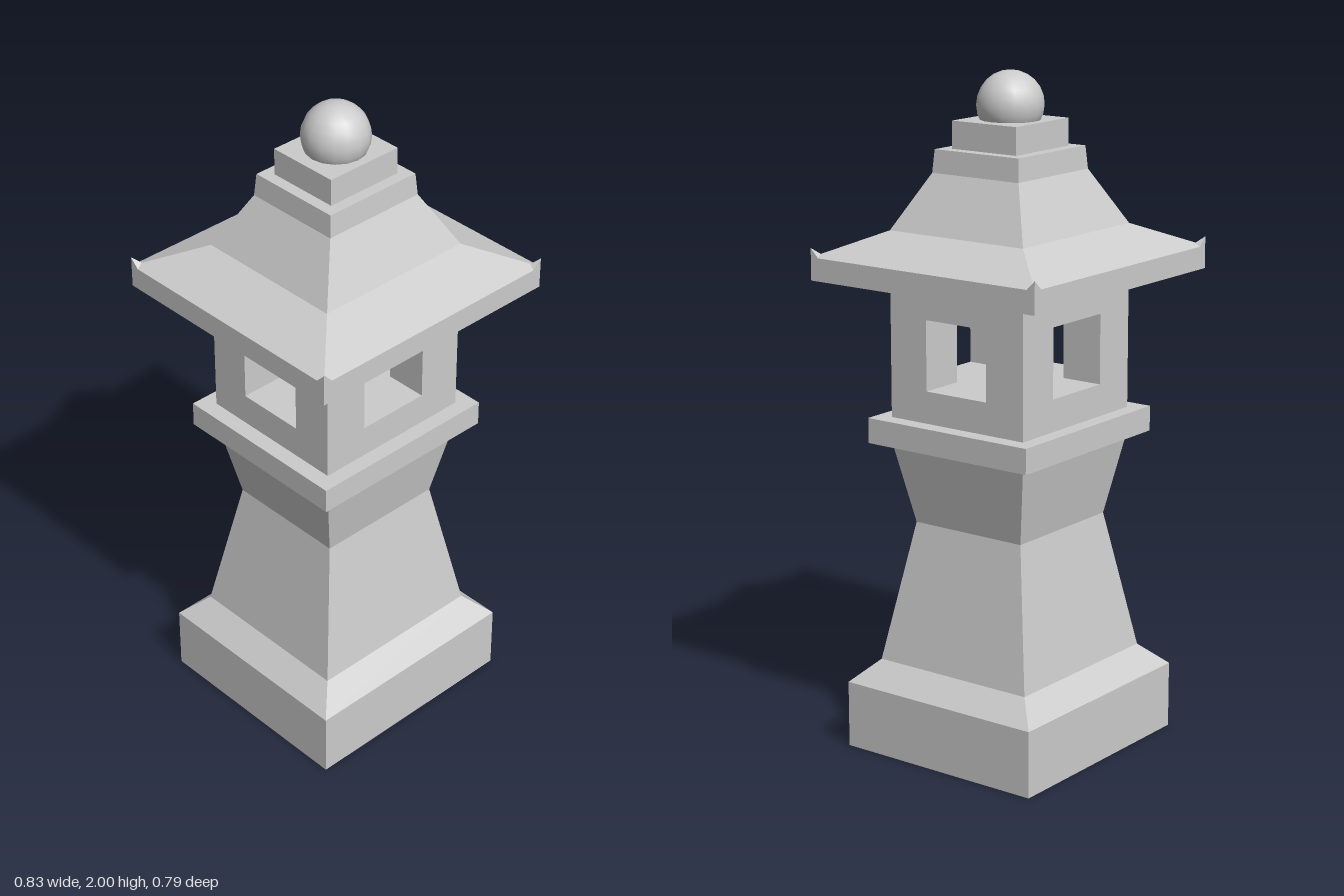
import * as THREE from 'three';

const stone = new THREE.MeshStandardMaterial({ color: 0xcccccc, flatShading: true, side: THREE.DoubleSide });
const smoothStone = new THREE.MeshStandardMaterial({ color: 0xcccccc });

// Corner signs (x, z), counter-clockwise seen from above
const CORNERS = [[1, 1], [1, -1], [-1, -1], [-1, 1]];

function meshFrom(name, positions) {
  const geometry = new THREE.BufferGeometry();
  geometry.setAttribute('position', new THREE.Float32BufferAttribute(positions, 3));
  geometry.computeVertexNormals();
  const mesh = new THREE.Mesh(geometry, stone);
  mesh.name = name;
  return mesh;
}

// Open-bottomed rectangular shell through levels of [half width, half depth, height]
function shell(name, levels, capped) {
  const positions = [];
  const rings = levels.map(([hx, hz, y]) => CORNERS.map(([sx, sz]) => [sx * hx, y, sz * hz]));
  const quad = (a, b, c, d) => positions.push(...a, ...b, ...c, ...a, ...c, ...d);
  for (let i = 0; i < rings.length - 1; i++) {
    for (let k = 0; k < 4; k++) {
      const n = (k + 1) % 4;
      quad(rings[i][k], rings[i][n], rings[i + 1][n], rings[i + 1][k]);
    }
  }
  if (capped) quad(...rings[rings.length - 1]);
  return meshFrom(name, positions);
}

function block(name, w, h, d, x, y, z) {
  const mesh = new THREE.Mesh(new THREE.BoxGeometry(w, h, d), stone);
  mesh.name = name;
  mesh.position.set(x, y, z);
  return mesh;
}

// Small upturned point on a roof corner
function eaveTip(sx, sz) {
  const p = (x, y, z) => [sx * x, y, sz * z];
  const tip = p(0.415, 1.507, 0.395);
  const base = p(0.415, 1.48, 0.395);
  const a = p(0.386, 1.48, 0.395);
  const b = p(0.415, 1.48, 0.368);
  const ridge = p(0.394, 1.489, 0.375);
  const faces = [[tip, ridge, a], [tip, b, ridge], [tip, a, base], [tip, base, b]];
  // Mirrored corners need the opposite winding
  return meshFrom('eaveTip', faces.flatMap(f => (sx * sz > 0 ? f : [f[0], f[2], f[1]]).flat()));
}

export function createModel() {
  const model = new THREE.Group();
  model.name = 'stoneLantern';

  // Hollow foot and waisted column
  model.add(shell('pedestal', [
    [0.355, 0.333, 0], [0.355, 0.333, 0.2], [0.283, 0.264, 0.267],
    [0.204, 0.19, 0.685], [0.255, 0.237, 0.93],
  ], false));
  model.add(shell('platform', [[0.305, 0.284, 0.93], [0.305, 0.284, 1.005]], true));

  // Lamp chamber: sill, four corner posts and lintel around crossing windows
  const W = 0.255, D = 0.237, wx = 0.114, wz = 0.107;
  const sill = 1.1, head = 1.308;
  const chamber = new THREE.Group();
  chamber.name = 'lampChamber';
  chamber.add(block('sill', 2 * W, sill - 1.005, 2 * D, 0, (sill + 1.005) / 2, 0));
  chamber.add(block('lintel', 2 * W, 1.415 - head, 2 * D, 0, (head + 1.415) / 2, 0));
  for (const [sx, sz] of CORNERS) {
    chamber.add(block('cornerPost', W - wx, head - sill, D - wz,
      sx * (W + wx) / 2, (sill + head) / 2, sz * (D + wz) / 2));
  }
  model.add(chamber);

  // Roof, open underneath, with raised corners
  const roof = new THREE.Group();
  roof.name = 'roof';
  roof.add(shell('roofShell', [
    [0.415, 0.395, 1.413], [0.415, 0.395, 1.48], [0.255, 0.236, 1.552],
    [0.165, 0.153, 1.713], [0.159, 0.148, 1.78],
  ], true));
  for (const [sx, sz] of CORNERS) roof.add(eaveTip(sx, sz));
  model.add(roof);

  // Finial
  model.add(shell('finialBase', [[0.124, 0.113, 1.78], [0.124, 0.113, 1.86]], true));
  const ball = new THREE.Mesh(new THREE.SphereGeometry(0.098, 16, 12), smoothStone);
  ball.name = 'finialBall';
  ball.position.y = 1.902;
  model.add(ball);

  return model;
}
